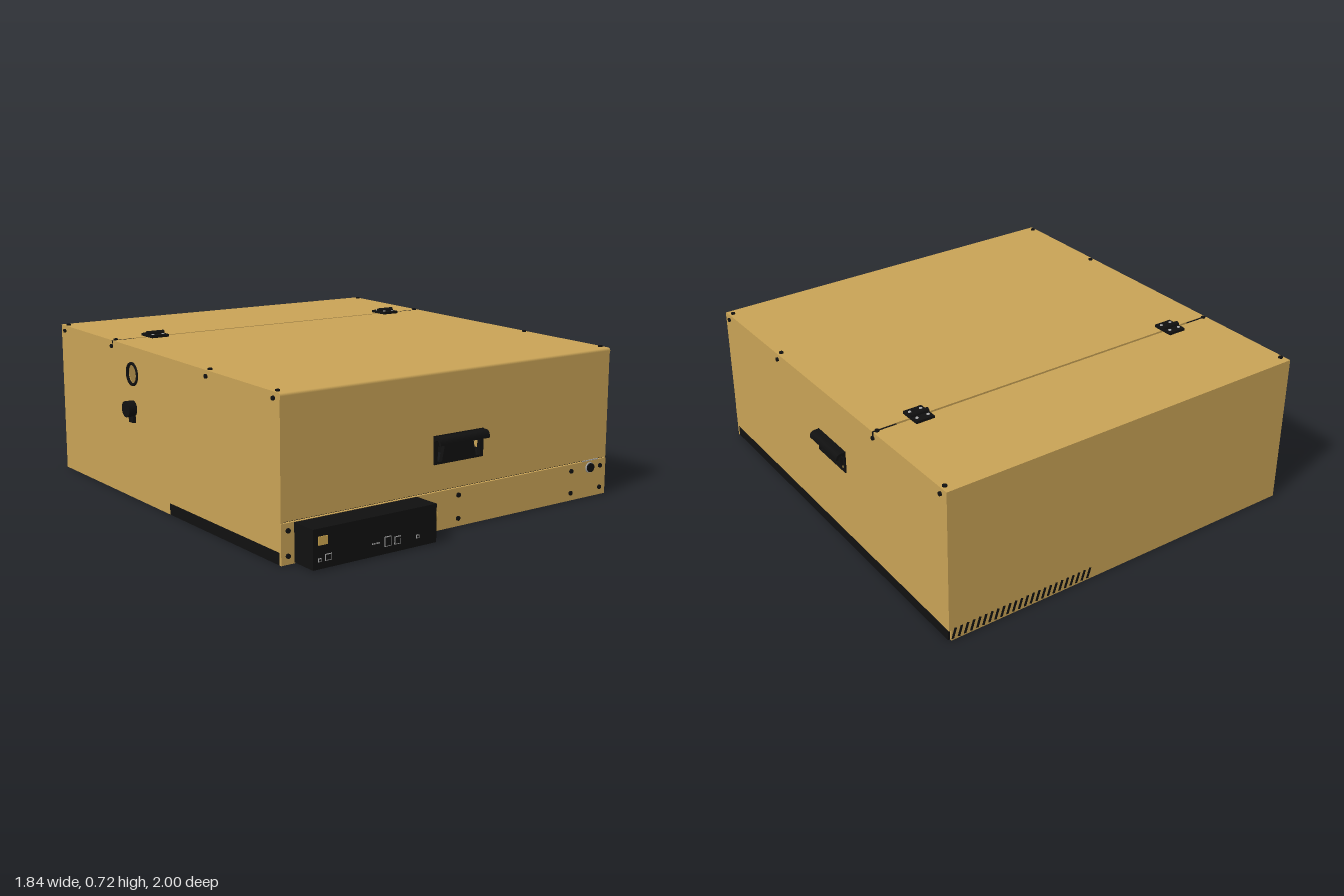
import * as THREE from 'three';

const mat = (name, color) => Object.assign(new THREE.MeshStandardMaterial({ color }), { name });

export function createModel() {
  const root = new THREE.Group();
  root.name = 'enclosure';
  const tan = mat('tan panel', 0xc9a356);
  const black = mat('black', 0x101010);
  const grey = mat('grey metal', 0xa8a8a8);
  const gold = mat('brass', 0xd0a850);
  const W = 0.88, F = 0.87, B = -1, T = 0.01;
  const topY = z => 0.682 - 0.0187 * z;

  const add = (name, geo, m, x = 0, y = 0, z = 0, parent = root) => {
    const mesh = new THREE.Mesh(geo, m);
    mesh.name = name;
    mesh.position.set(x, y, z);
    parent.add(mesh);
    return mesh;
  };
  // box given by its limits
  const span = (name, m, x0, x1, y0, y1, z0, z1) =>
    add(name, new THREE.BoxGeometry(x1 - x0, y1 - y0, z1 - z0), m, (x0 + x1) / 2, (y0 + y1) / 2, (z0 + z1) / 2);
  const poly = pts => new THREE.Shape(pts.map(p => new THREE.Vector2(...p)));
  const rect = (x0, x1, y0, y1) => [[x0, y0], [x1, y0], [x1, y1], [x0, y1]];
  const extrude = (shape, depth) => new THREE.ExtrudeGeometry(shape, { depth, bevelEnabled: false, curveSegments: 20 });
  // profile drawn in z,y and extruded across x
  const sideways = (name, shape, m, x0, x1) => {
    const mesh = add(name, extrude(shape, x1 - x0), m, x1);
    mesh.rotation.y = -Math.PI / 2;
    return mesh;
  };
  // round part whose axis is x, y or z
  const disc = (name, m, axis, r, len, x, y, z, parent = root, sides = 16) => {
    const d = add(name, new THREE.CylinderGeometry(r, r, len, sides), m, x, y, z, parent);
    if (axis === 'x') d.rotation.z = Math.PI / 2;
    if (axis === 'z') d.rotation.x = Math.PI / 2;
    return d;
  };

  // side walls
  const lidBase = z => topY(z) - T;
  const left = poly([[B, 0.05], [F, 0.05], [F, lidBase(F)], [B, lidBase(B)]]);
  left.holes.push(poly(rect(-0.215, -0.02, 0.385, 0.445)));
  sideways('leftWall', left, tan, W - T, W);
  const right = poly([[B, 0], [0.02, 0], [0.02, 0.05], [F, 0.05], [F, lidBase(F)], [B, lidBase(B)]]);
  right.holes.push(new THREE.Path().absarc(-0.29, 0.565, 0.045, 0, Math.PI * 2));
  sideways('rightWall', right, tan, -W, -W + T);

  // back wall with ventilation slots
  span('backWall', tan, -W + T, W - T, 0, lidBase(B), B, B + T);
  for (let i = 0; i < 24; i++) {
    const slot = add('backVent', new THREE.BoxGeometry(0.011, 0.05, 0.004), black, 0.19 + i * 0.029, 0.032, B);
    slot.rotation.z = 0.3;
  }

  // front wall, lower front panel and the seam between them
  const front = poly(rect(-W + T, W - T, 0.17, lidBase(F)));
  front.holes.push(poly(rect(-0.118, 0.118, 0.288, 0.36)));
  add('frontWall', extrude(front, T), tan, 0, 0, F - T);
  span('lowerFrontPanel', tan, -W, W, 0, 0.165, F - T, F + 0.002);
  span('frontSeam', black, -W + T, W - T, 0.16, 0.175, F - 0.02, F - T);
  span('frontLatchStrip', grey, 0.73, 0.83, 0.166, 0.17, F, F + 0.004);
  for (const s of [-1, 1])
    add('frontCornerSlot', new THREE.BoxGeometry(0.05, 0.008, 0.004), black, s * 0.852, 0.652, F);

  // two-piece lid with a soft front edge
  const slab = (z0, z1) => poly([[z0, lidBase(z0)], [z1, lidBase(z1)], [z1, topY(z1)], [z0, topY(z0)]]);
  sideways('rearLid', slab(B, -0.476), tan, -W, W);
  const lid = new THREE.Shape();
  lid.moveTo(-0.464, lidBase(-0.464));
  lid.lineTo(F - T, lidBase(F));
  lid.lineTo(F - T, 0.64);
  lid.lineTo(F + 0.003, 0.64);
  lid.lineTo(F + 0.003, 0.653);
  lid.quadraticCurveTo(F + 0.003, topY(F), F - 0.012, topY(F));
  lid.lineTo(-0.464, topY(-0.464));
  sideways('frontLid', lid, tan, -W, W);
  for (const s of [-1, 1]) {
    span('lidSeamEnd', black, s * 0.825 - 0.055, s * 0.825 + 0.055, 0.67, 0.69, -0.478, -0.466);
    for (const z of [-0.96, -0.475, 0.345, 0.83]) {
      disc('lidScrew', black, 'y', 0.01, 0.008, s * 0.862, topY(z) + 0.002, z);
      disc('sideScrew', black, 'x', 0.009, 0.012, s * 0.882, topY(z) - 0.025, z);
    }
  }

  // hinges
  for (const s of [-1, 1]) {
    const hinge = new THREE.Group();
    hinge.name = 'hinge';
    hinge.position.set(s * 0.665, topY(-0.47), -0.47);
    root.add(hinge);
    for (const e of [-1, 1]) {
      add('hingeLeaf', new THREE.BoxGeometry(0.086, 0.012, 0.048), black, 0, 0.006, e * 0.027, hinge);
      for (const k of [-1, 1]) disc('hingeScrew', grey, 'y', 0.007, 0.004, k * 0.026, 0.013, e * 0.028, hinge);
    }
    disc('hingeBarrel', black, 'x', 0.012, 0.086, 0, 0.014, 0, hinge);
  }

  // grip handles: plate with two openings and a curled lip
  const handle = (name, scale) => {
    const g = new THREE.Group();
    g.name = name;
    g.scale.set(scale, scale, 1);
    root.add(g);
    const plate = poly(rect(-0.133, 0.133, -0.06, 0.06));
    for (const s of [-1, 1])
      plate.holes.push(poly([[s * 0.115, -0.05], [s * 0.092, -0.05], [s * 0.078, 0.015], [s * 0.115, 0.015]]));
    add('handlePlate', extrude(plate, 0.018), black, 0, 0, -0.012, g);
    const lip = new THREE.Shape();
    lip.moveTo(0, 0.058);
    lip.lineTo(0.024, 0.058);
    lip.quadraticCurveTo(0.045, 0.056, 0.045, 0.026);
    lip.lineTo(0.035, 0.026);
    lip.quadraticCurveTo(0.034, 0.044, 0.02, 0.044);
    lip.lineTo(0, 0.032);
    const m = add('handleLip', extrude(lip, 0.266), black, 0.133, 0, 0, g);
    m.rotation.y = -Math.PI / 2;
    return g;
  };
  handle('frontHandle', 1).position.set(-0.002, 0.342, F);
  const sideHandle = handle('sideHandle', 0.86);
  sideHandle.position.set(W, 0.422, -0.118);
  sideHandle.rotation.y = Math.PI / 2;

  // base frame
  span('leftRail', black, W - 0.1, W, 0, 0.05, B + T, F - T);
  span('rightRail', black, -W + T, -W + 0.16, 0, 0.05, B + T, F - T);
  span('rightRailFace', black, -W, -W + T, 0, 0.05, 0.02, F - T);
  span('frontRail', black, -W + 0.16, W - 0.1, 0, 0.05, F - 0.11, F - T);
  span('backRail', black, -W + 0.16, W - 0.1, 0, 0.05, B + T, B + 0.11);
  for (let i = 0; i < 14; i++)
    disc('railScrew', gold, 'y', 0.006, 0.004, -W + 0.06, 0, -0.85 + i * 0.12, root, 8);

  // inner frame: corner posts and upper rail
  span('frontRightPost', black, -W + T, -W + 0.05, 0.05, 0.65, F - 0.05, F - T);
  span('upperRail', black, -W + T, -W + 0.04, 0.625, 0.655, -0.9, F - 0.05);

  // hanging unit inside
  span('innerUnit', black, 0.23, 0.42, 0.15, 0.675, -0.35, -0.14);

  // cable outlet and knob on the right wall
  const ring = add('outletRing', new THREE.TorusGeometry(0.047, 0.007, 8, 28), black, -W, 0.565, -0.29);
  ring.rotation.y = Math.PI / 2;
  disc('knob', black, 'x', 0.036, 0.04, -W - 0.018, 0.412, -0.29);
  span('knobClip', black, -W - 0.014, -W, 0.35, 0.4, -0.31, -0.27);
  span('innerBracket', black, -W + T, -W + 0.04, 0.2, 0.5, -0.32, -0.26);
  span('innerBracketFoot', black, -W + T, -W + 0.06, 0.18, 0.26, -0.335, -0.245);

  // control box on the front
  span('controlBox', black, -0.82, -0.22, 0.004, 0.163, F, 0.995);
  span('switchPlate', gold, -0.797, -0.755, 0.098, 0.132, 0.994, 0.999);
  const ports = [[-0.79, 0.04, 0.014, 0.014], [-0.75, 0.046, 0.03, 0.026], [-0.466, 0.054, 0.032, 0.04],
    [-0.418, 0.05, 0.032, 0.032], [-0.317, 0.046, 0.014, 0.014]];
  for (const [x, y, w, h] of ports) {
    add('portFrame', new THREE.BoxGeometry(w, h, 0.004), grey, x, y, 0.996);
    add('portOpening', new THREE.BoxGeometry(w - 0.006, h - 0.006, 0.004), black, x, y, 0.997);
  }
  for (let i = 0; i < 4; i++)
    add('indicator', new THREE.BoxGeometry(0.005, 0.005, 0.004), grey, -0.54 + i * 0.01, 0.055, 0.996);

  // ribbed connector on the end of the control box
  for (let i = 0; i < 3; i++)
    disc('connector', gold, 'x', i === 1 ? 0.031 : 0.037, 0.013, -0.2135 + i * 0.0125, 0.095, 0.922, root, 12);

  // screws and dial on the lower front panel
  for (const x of [-0.85, 0, 0.66, 0.842])
    for (const y of [0.035, 0.135]) disc('panelScrew', black, 'z', 0.01, 0.01, x, y, F + 0.004);
  disc('dialCollar', grey, 'z', 0.024, 0.006, 0.776, 0.135, F + 0.004);
  disc('dial', black, 'z', 0.02, 0.014, 0.776, 0.135, F + 0.008);

  return root;
}
